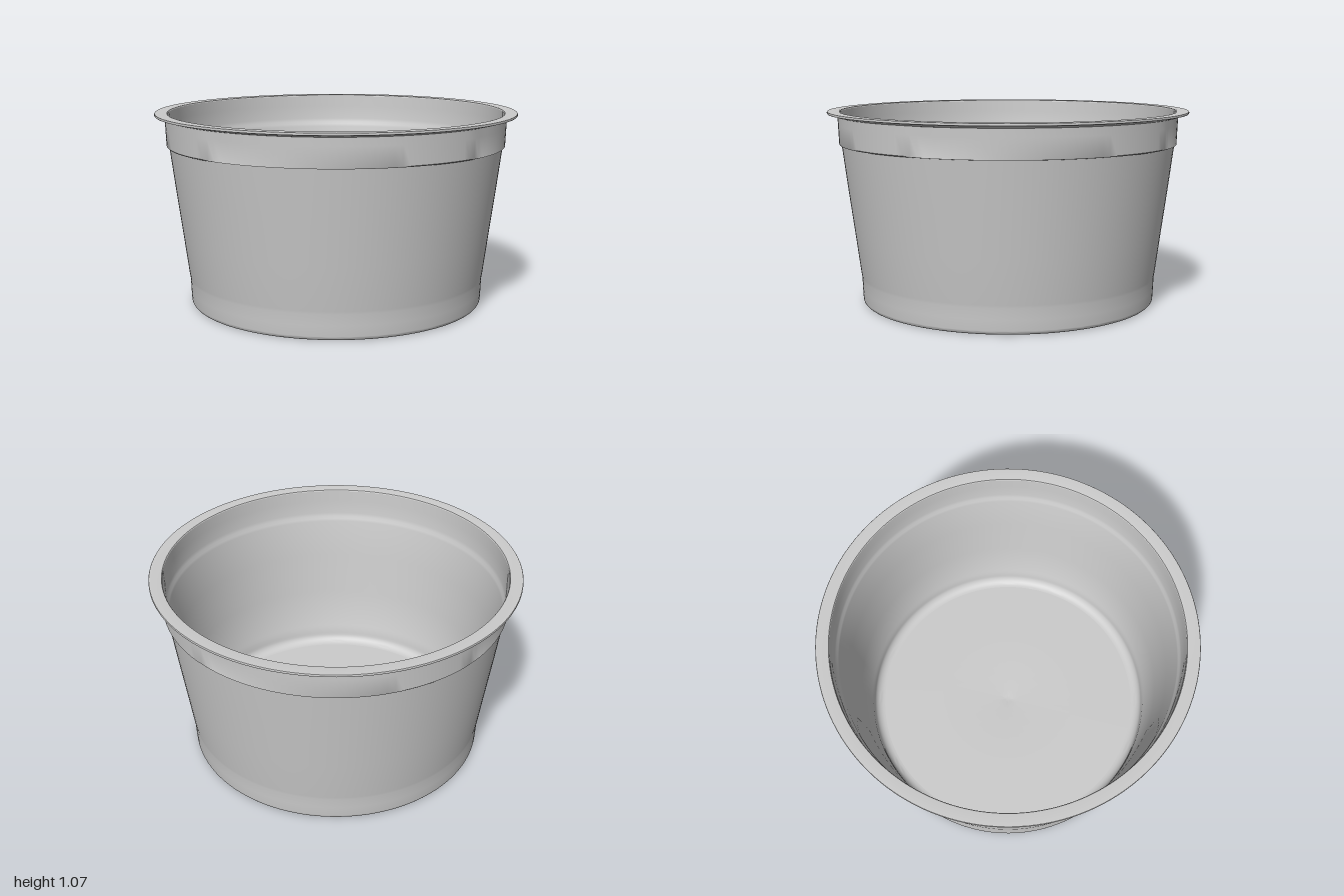
import * as THREE from 'three';
import { toCreasedNormals } from 'three/addons/utils/BufferGeometryUtils.js';

const SEGMENTS = 144;
const material = new THREE.MeshStandardMaterial({ color: 0xcccccc });

// Turned part from [radius, height] pairs; warp optionally changes the radius by angle and height
function turned(name, profile, warp) {
  const points = profile.map(([r, y]) => new THREE.Vector2(r, y));
  const lathe = new THREE.LatheGeometry(points, SEGMENTS);
  if (warp) {
    const p = lathe.attributes.position;
    for (let i = 0; i < p.count; i++) {
      const x = p.getX(i), y = p.getY(i), z = p.getZ(i);
      const r = Math.hypot(x, z);
      const k = (r + warp(Math.atan2(x, z), y)) / r;
      p.setXYZ(i, x * k, y, z * k);
    }
  }
  const mesh = new THREE.Mesh(toCreasedNormals(lathe, 0.6), material);
  mesh.name = name;
  return mesh;
}

// Quarter-round points between two angles
function arc(cx, cy, radius, from, to, steps = 6) {
  return Array.from({ length: steps + 1 }, (_, i) => {
    const a = from + (to - from) * i / steps;
    return [cx + radius * Math.cos(a), cy + radius * Math.sin(a)];
  });
}

// Four shallow ramps around the stacking band, each ending in a short drop
function bandRamp(angle, y) {
  if (y < 0.89 || y > 1.045) return 0;
  const quarter = Math.PI / 2;
  const t = (((angle - 0.19) % quarter + quarter) % quarter) / quarter;
  return t < 0.06 ? 0.004 - 0.008 * t / 0.06 : -0.004 + 0.008 * (t - 0.06) / 0.94;
}

export function createModel() {
  const cup = new THREE.Group();
  cup.name = 'cup';

  // Recessed underside with a centre pip and two shallow rings
  cup.add(turned('underside', [
    [0, 0.026], [0.015, 0.026], [0.019, 0.034], [0.28, 0.034], [0.287, 0.028],
    [0.405, 0.028], [0.412, 0.034], [0.69, 0.034], [0.70, 0.032],
    [0.725, 0.012], [0.745, 0.003], [0.765, 0], [0.80, 0],
  ]));

  // Rounded foot, tapered wall and stepped stacking band
  cup.add(turned('outerWall', [
    ...arc(0.80, 0.022, 0.022, -Math.PI / 2, 0),
    [0.825, 0.08], [0.827, 0.14], [0.829, 0.155], [0.833, 0.18],
    [0.86, 0.39], [0.893, 0.64], [0.924, 0.888],
    [0.936, 0.89], [0.938, 0.895], [0.942, 1.0], [0.944, 1.045],
  ], bandRamp));

  // Flat flange with a thin outer edge
  cup.add(turned('rim', [
    [0.938, 1.042], [0.955, 1.046], [0.985, 1.056], [0.998, 1.058],
    [1.0, 1.061], [1.0, 1.067], [0.998, 1.07], [0.938, 1.07],
    [0.932, 1.069], [0.929, 1.064],
  ]));

  // Inner wall: band, sloped ledge and taper down to the floor fillet
  cup.add(turned('innerWall', [
    [0.929, 1.064], [0.926, 1.0], [0.922, 0.92], [0.918, 0.90],
    [0.911, 0.885], [0.907, 0.87], [0.88, 0.65], [0.847, 0.40],
    [0.815, 0.16], [0.809, 0.145], [0.806, 0.11],
    ...arc(0.75, 0.105, 0.055, 0, -Math.PI / 2, 8),
  ]));

  // Inner floor with a tiny centre dimple
  cup.add(turned('floor', [
    [0.75, 0.05], [0.4, 0.05], [0.06, 0.05], [0.02, 0.046], [0, 0.044],
  ]));

  return cup;
}
